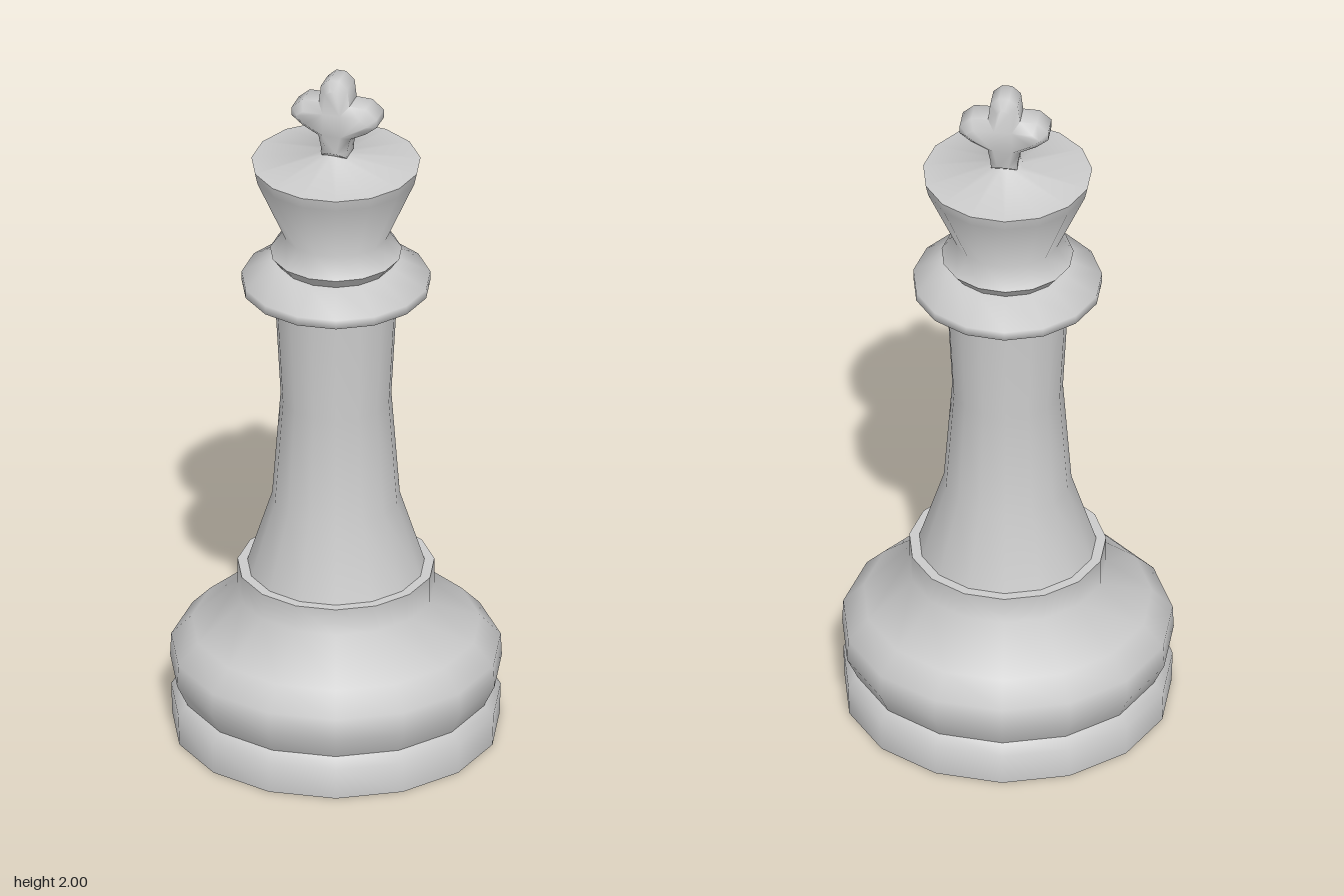
import * as THREE from 'three';
import { toCreasedNormals, mergeVertices } from 'three/addons/utils/BufferGeometryUtils.js';

const SIDES = 15;
const CENTRE_X = -0.005; // an odd-sided turning sits slightly off its bounding centre

const material = new THREE.MeshStandardMaterial({ color: 0xcccccc });

// Smooth normals with sharp edges kept where the surface turns hard
function soften(geometry, crease) {
  geometry.deleteAttribute('uv');
  geometry.deleteAttribute('normal');
  return toCreasedNormals(mergeVertices(geometry, 1e-4), crease);
}

// Turned part from [radius, height] pairs, bottom to top, with a corner on +x
function turned(name, profile) {
  const points = profile.map(([r, y]) => new THREE.Vector2(r, y));
  const geometry = new THREE.LatheGeometry(points, SIDES, Math.PI / 2);
  const mesh = new THREE.Mesh(soften(geometry, 1.2), material);
  mesh.name = name;
  mesh.position.x = CENTRE_X;
  return mesh;
}

// Four-armed finial: half outline mirrored, extruded with chamfered edges
function finial() {
  const half = [
    [0.036, 1.765], [0.037, 1.785], [0.045, 1.825], [0.09, 1.848], [0.122, 1.874],
    [0.122, 1.898], [0.09, 1.926], [0.044, 1.927], [0.038, 1.978], [0.014, 2.0],
  ];
  const outline = [...half, ...half.map(([x, y]) => [-x, y]).reverse()];
  const shape = new THREE.Shape(outline.map(([x, y]) => new THREE.Vector2(x, y)));
  const geometry = new THREE.ExtrudeGeometry(shape, {
    depth: 0.064, bevelEnabled: true, bevelThickness: 0.027,
    bevelSize: 0.022, bevelOffset: -0.022, bevelSegments: 1,
  });
  geometry.translate(0, 0, -0.032);
  const mesh = new THREE.Mesh(soften(geometry, 1.1), material);
  mesh.name = 'crossFinial';
  return mesh;
}

export function createModel() {
  const group = new THREE.Group();
  group.name = 'chessKing';
  group.add(
    // Foot, groove, swelling and shelf
    turned('base', [
      [0, 0], [0.449, 0], [0.452, 0.09], [0.425, 0.117], [0.455, 0.18], [0.452, 0.245],
      [0.395, 0.305], [0.27, 0.41], [0.27, 0.488], [0, 0.488],
    ]),
    // Tapering column
    turned('stem', [
      [0.243, 0.487], [0.175, 0.7], [0.152, 1.01], [0.168, 1.31], [0.168, 1.34],
    ]),
    // Wide ring under the head
    turned('collar', [
      [0.15, 1.305], [0.18, 1.31], [0.259, 1.352], [0.259, 1.378], [0.17, 1.425], [0, 1.43],
    ]),
    // Small neck ring, flared crown and shallow lid
    turned('head', [
      [0.155, 1.425], [0.181, 1.458], [0.143, 1.513], [0.225, 1.7], [0.232, 1.732],
      [0.045, 1.76], [0.032, 1.78], [0, 1.78],
    ]),
    finial(),
  );
  return group;
}
